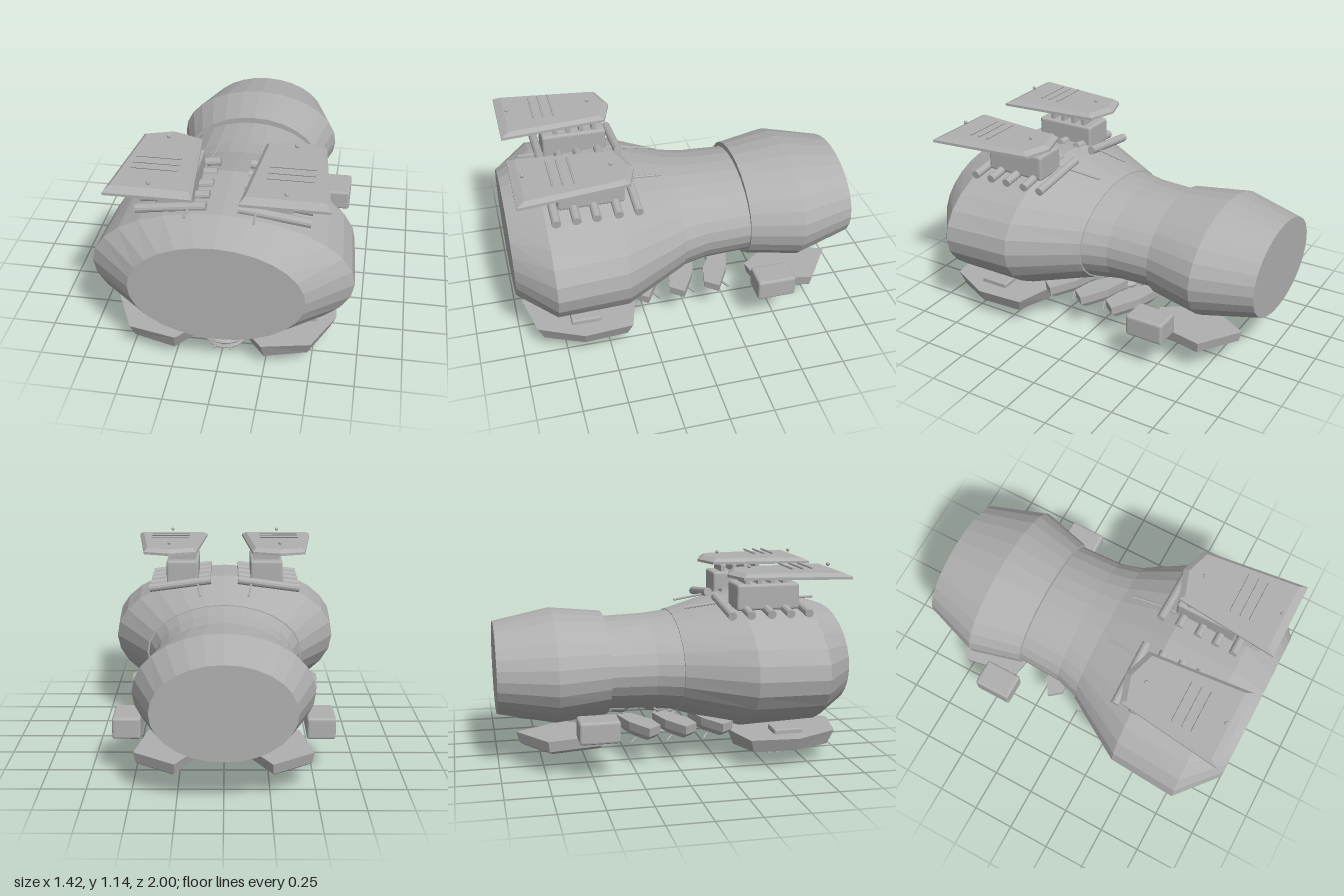
import * as THREE from 'three';
import { RoundedBoxGeometry } from 'three/addons/geometries/RoundedBoxGeometry.js';

const hullGrey = new THREE.MeshStandardMaterial({ color: 0xb0b0b0, flatShading: true });
hullGrey.name = 'hull grey';

function add(parent, name, geometry, x = 0, y = 0, z = 0) {
  const mesh = new THREE.Mesh(geometry, hullGrey);
  mesh.name = name;
  mesh.position.set(x, y, z);
  parent.add(mesh);
  return mesh;
}

// Closed solid through equal-length rings of [x, y, z] points
function loft(rings) {
  const n = rings[0].length;
  const pos = rings.flat(2);
  const tri = [];
  for (let r = 0; r < rings.length - 1; r++) {
    for (let i = 0; i < n; i++) {
      const a = r * n + i, b = r * n + (i + 1) % n;
      tri.push([a, b, a + n], [b, b + n, a + n]);
    }
  }
  [0, rings.length - 1].forEach((r) => {
    const c = pos.length / 3;
    for (let k = 0; k < 3; k++) pos.push(rings[r].reduce((s, p) => s + p[k], 0) / n);
    for (let i = 0; i < n; i++) {
      const a = r * n + i, b = r * n + (i + 1) % n;
      tri.push(r === 0 ? [c, b, a] : [c, a, b]);
    }
  });
  // Turn the faces outward whatever the ring direction
  const at = (i) => new THREE.Vector3().fromArray(pos, i * 3);
  const volume = tri.reduce((s, [a, b, c]) => s + at(a).dot(at(b).cross(at(c))), 0);
  const g = new THREE.BufferGeometry();
  g.setAttribute('position', new THREE.Float32BufferAttribute(pos, 3));
  g.setIndex(tri.flatMap(([a, b, c]) => (volume < 0 ? [a, c, b] : [a, b, c])));
  const flat = g.toNonIndexed();
  flat.computeVertexNormals();
  return flat;
}

// Elliptical hull from stations of [z, half width, half height]
function hull(stations) {
  return loft(stations.map(([z, rx, ry]) => Array.from({ length: 28 }, (_, i) => {
    const t = (i / 28) * Math.PI * 2;
    return [rx * Math.cos(t), 0.54 + ry * Math.sin(t), z];
  })));
}

// Flat outline of [x, z] placed at height y, scaled about its middle
function level(outline, y, scale = 1) {
  const n = outline.length;
  const cx = outline.reduce((s, p) => s + p[0], 0) / n;
  const cz = outline.reduce((s, p) => s + p[1], 0) / n;
  return outline.map(([x, z]) => [cx + (x - cx) * scale, y, cz + (z - cz) * scale]);
}

// Straight round rod between two points
function rod(parent, name, from, to, radius, sides = 10) {
  const a = new THREE.Vector3(...from), b = new THREE.Vector3(...to);
  const dir = b.clone().sub(a);
  const mesh = add(parent, name, new THREE.CylinderGeometry(radius, radius, dir.length(), sides));
  mesh.position.copy(a).add(b).multiplyScalar(0.5);
  mesh.quaternion.setFromUnitVectors(new THREE.Vector3(0, 1, 0), dir.normalize());
  return mesh;
}

// Everything that exists once on each side
function buildSide(name) {
  const side = new THREE.Group();
  side.name = name;

  // Raised roof panel with bevelled rim
  const panel = [[0.117, 0.955], [0.175, 0.355], [0.345, 0.3], [0.5, 0.35], [0.573, 0.955]];
  add(side, 'roofPanel', loft([level(panel, 1.075), level(panel, 1.09), level(panel, 1.11, 0.88)]));
  for (const z of [0.64, 0.7, 0.755]) {
    rod(side, 'panelBar', [0.23, 1.129, z], [0.473, 1.129, z], 0.006, 6);
  }
  for (const z of [0.425, 0.895]) add(side, 'panelStud', new THREE.SphereGeometry(0.011, 10, 6), 0.347, 1.133, z);

  // Panel pedestal
  add(side, 'pedestal', new RoundedBoxGeometry(0.2, 0.15, 0.37, 2, 0.015), 0.262, 0.955, 0.54);
  for (const z of [0.42, 0.493, 0.567, 0.642]) {
    add(side, 'pedestalRib', new THREE.BoxGeometry(0.165, 0.045, 0.025), 0.262, 1.045, z);
  }

  // Sloping cross rods and thin lengthwise rod under the pedestal
  for (const z of [0.3, 0.41, 0.53, 0.64, 0.75]) {
    rod(side, 'crossRod', [0.085, 0.923, z], [0.465, 0.872, z], 0.025, 12);
  }
  rod(side, 'roofRodRear', [0.145, 0.872, 0.1], [0.165, 0.897, 0.28], 0.007, 6);
  rod(side, 'roofRodFront', [0.165, 0.9, 0.28], [0.18, 0.92, 0.87], 0.007, 6);

  // Side box
  add(side, 'sideBox', new RoundedBoxGeometry(0.16, 0.125, 0.225, 2, 0.015), 0.54, 0.29, -0.47);
  add(side, 'sideBoxFoot', new THREE.BoxGeometry(0.08, 0.02, 0.06), 0.54, 0.222, -0.47);

  // Front belly pod with keel
  const pod = [[0.07, 0.36], [0.05, 0.75], [0.235, 0.965], [0.5, 0.91], [0.62, 0.66], [0.6, 0.38], [0.35, 0.31]];
  const bottom = level(pod, 0.1, 0.88);
  bottom.forEach((p) => { p[1] = 0.085 + Math.abs(p[0] - 0.24) * 0.07; });
  add(side, 'frontPod', loft([bottom, level(pod, 0.187)]));
  add(side, 'podTopBox', new RoundedBoxGeometry(0.13, 0.04, 0.17, 2, 0.008), 0.45, 0.195, 0.63);
  add(side, 'podVent', new RoundedBoxGeometry(0.135, 0.05, 0.18, 2, 0.01), 0.353, 0.079, 0.61);
  for (const z of [0.56, 0.61, 0.66]) {
    add(side, 'podVentSlat', new THREE.BoxGeometry(0.08, 0.02, 0.025), 0.353, 0.046, z);
  }

  // Rear belly pod
  const rear = [[0.43, -0.42], [0.49, -0.74], [0.26, -0.9], [0.1, -0.62], [0.27, -0.385]];
  add(side, 'rearPod', loft([level(rear, 0.14, 0.82), level(rear, 0.158, 0.94), level(rear, 0.22)]));

  // Three slanted belly fins with feeler rods
  const fin = [[0.46, 0.03], [0.4, 0.105], [0.28, 0.08], [0.12, -0.02], [0.14, -0.105], [0.3, -0.06]];
  for (const z of [0.225, 0.01, -0.2]) {
    const outline = fin.map(([x, dz]) => [x, z + dz]);
    add(side, 'bellyFin', loft([level(outline, 0.17, 0.72), level(outline, 0.2, 0.97), level(outline, 0.25)]));
    rod(side, 'feelerRod', [0.2, 0.142, z + 0.02], [0.36, 0.142, z - 0.06], 0.007, 6);
    rod(side, 'feelerPost', [0.27, 0.14, z - 0.015], [0.27, 0.19, z - 0.015], 0.007, 6);
  }
  return side;
}

// Belly sensor: lens, ring, crossbars and stem
function buildSensor(name, z, y, radius, top) {
  const sensor = new THREE.Group();
  sensor.name = name;
  sensor.position.z = z;
  add(sensor, 'lens', new THREE.SphereGeometry(radius, 24, 10), 0, y, 0).scale.y = 0.03 / radius;
  const ring = add(sensor, 'ring', new THREE.TorusGeometry(radius * 0.83, 0.011, 6, 24), 0, y - 0.042, 0);
  ring.rotation.x = Math.PI / 2;
  for (const s of [-1, 1]) {
    add(sensor, 'ringStud', new THREE.SphereGeometry(0.012, 8, 6), s * radius * 0.5, y - 0.028, 0);
    rod(sensor, 'ringBar', [s * radius * 0.35, y - 0.04, -radius], [s * radius * 0.35, y - 0.04, radius], 0.007, 6);
  }
  rod(sensor, 'stem', [0, y, 0], [0, top, 0], 0.05, 14);
  for (let h = y + 0.05; h < top; h += 0.025) {
    add(sensor, 'stemRib', new THREE.CylinderGeometry(0.065, 0.06, 0.01, 16), 0, h, 0);
  }
  return sensor;
}

export function createModel() {
  const model = new THREE.Group();
  model.name = 'spacecraft';

  // Hull: broad front, narrow neck, stepped rear
  add(model, 'frontHull', hull([
    [1, 0.47, 0.298], [0.8, 0.71, 0.37], [0.4, 0.685, 0.39], [0.035, 0.465, 0.295],
  ]));
  add(model, 'neck', hull([
    [0.035, 0.455, 0.29], [-0.11, 0.412, 0.275], [-0.38, 0.402, 0.265],
  ]));
  add(model, 'rearHull', hull([
    [-0.37, 0.415, 0.3], [-0.67, 0.495, 0.328], [-1, 0.382, 0.263],
  ]));

  // Mirrored equipment
  const left = buildSide('leftEquipment');
  const right = buildSide('rightEquipment');
  right.scale.x = -1;
  model.add(left, right);

  // Centre line sensors
  model.add(buildSensor('frontSensor', 0.7, 0.058, 0.127, 0.2));
  model.add(buildSensor('midSensor', 0.01, 0.152, 0.095, 0.27));
  return model;
}
